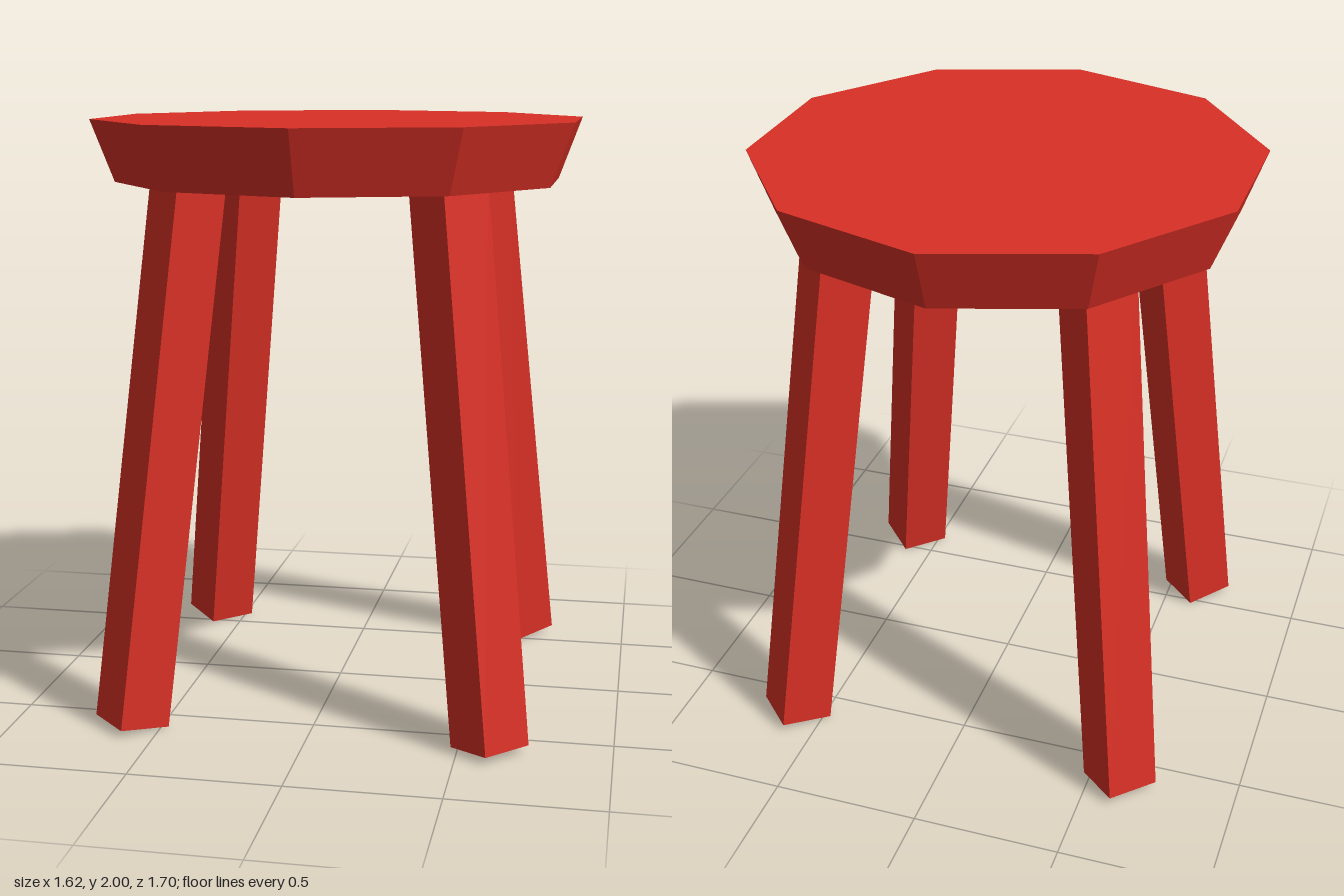
import * as THREE from 'three';

export function createModel() {
  const model = new THREE.Group();
  model.name = 'stool';
  const redPaint = new THREE.MeshStandardMaterial({ color: 0xd93025 });
  redPaint.name = 'red paint';
  redPaint.flatShading = true;

  // Ten-sided seat, tapering towards its underside
  const seat = new THREE.Mesh(new THREE.CylinderGeometry(0.85, 0.77, 0.21, 10), redPaint);
  seat.name = 'seat';
  seat.position.y = 1.895;
  model.add(seat);

  // Square legs, splayed along the diagonals
  const thickness = 0.18, length = 1.86, splay = THREE.MathUtils.degToRad(8);
  const legGeometry = new THREE.BoxGeometry(thickness, length, thickness);
  legGeometry.translate(0, length / 2, 0);
  const names = ['frontLeftLeg', 'backLeftLeg', 'backRightLeg', 'frontRightLeg'];
  names.forEach((name, i) => {
    const pivot = new THREE.Group();
    pivot.name = name;
    pivot.rotation.y = Math.PI / 4 + i * Math.PI / 2;
    const leg = new THREE.Mesh(legGeometry, redPaint);
    leg.name = name + 'Post';
    leg.position.set(0, Math.sin(splay) * thickness / 2, 0.852);
    leg.rotation.x = -splay;
    pivot.add(leg);
    model.add(pivot);
  });
  return model;
}
